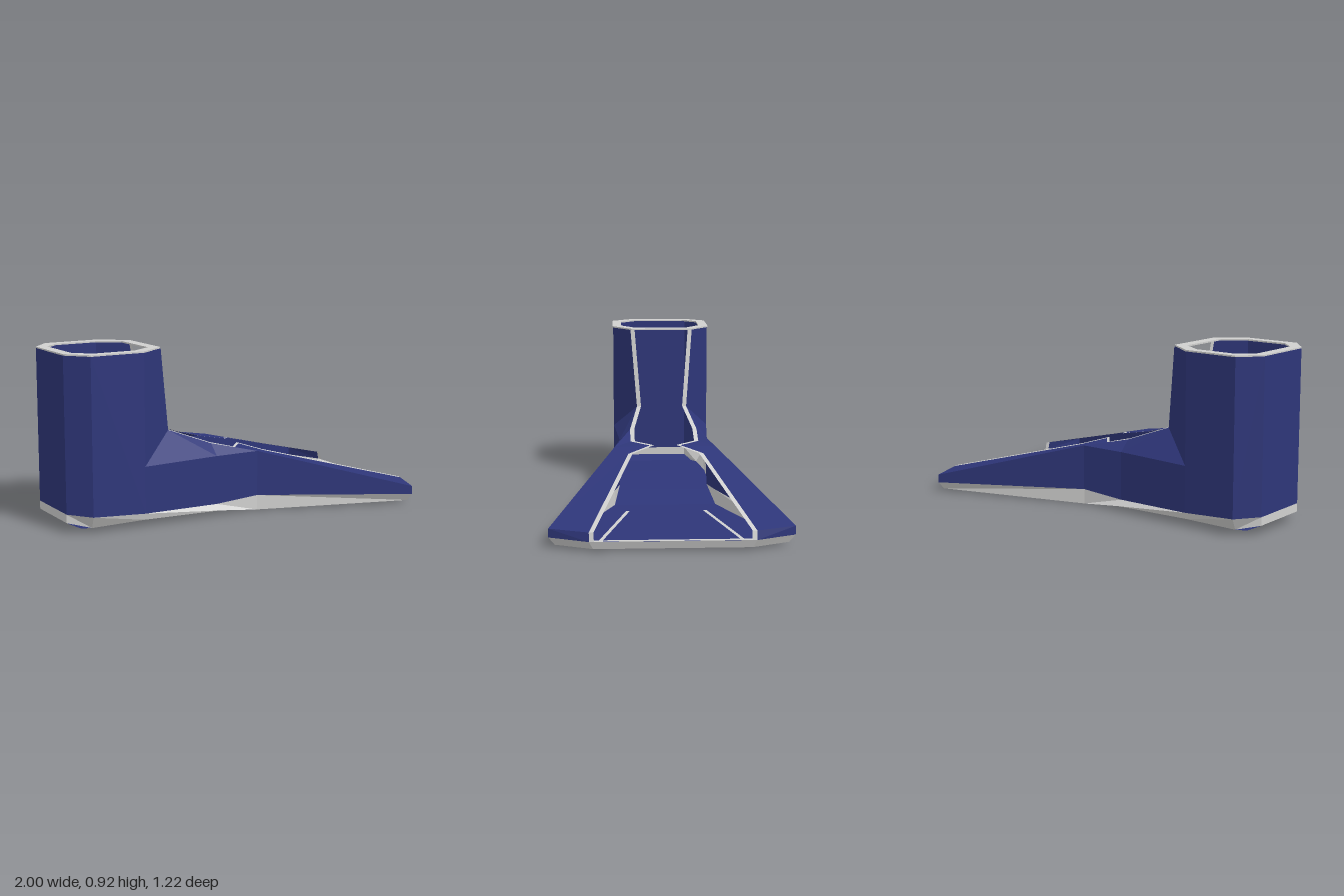
import * as THREE from 'three';

const blue = new THREE.MeshStandardMaterial({ color: 0x2e3679, side: THREE.DoubleSide, flatShading: true });
blue.name = 'navy blue';
const white = new THREE.MeshStandardMaterial({ color: 0xd0d0cf, side: THREE.DoubleSide, flatShading: true });
white.name = 'trim white';

// Faces between an upper and a lower edge, mirrored across z = 0.
function strip(upper, lower) {
  const pos = [];
  for (const s of [1, -1]) {
    const tri = (a, b, c) => {
      for (const p of s > 0 ? [a, b, c] : [a, c, b]) pos.push(p[0], p[1], p[2] * s);
    };
    for (let i = 0; i < upper.length - 1; i++) {
      tri(upper[i], lower[i], lower[i + 1]);
      tri(upper[i], lower[i + 1], upper[i + 1]);
    }
  }
  const g = new THREE.BufferGeometry();
  g.setAttribute('position', new THREE.Float32BufferAttribute(pos, 3));
  g.computeVertexNormals();
  return g;
}

export function createModel() {
  const group = new THREE.Group();
  const add = (name, geometry, material) => {
    const m = new THREE.Mesh(geometry, material);
    m.name = name;
    group.add(m);
  };
  const center = p => [p[0], p[1], 0];

  // Main edges of one half, running heel to toe.
  const opening = [
    [-0.45, 0.92, 0.18], [-0.39, 0.475, 0.145], [-0.15, 0.385, 0.19], [0, 0.345, 0.19],
    [0.09, 0.34, 0.085], [0.18, 0.313, 0.205], [0.99, 0.1, 0.41], [1, 0.055, 0.41],
  ];
  const shoulder = [
    [-0.6, 0.325, 0.28], [-0.15, 0.325, 0.25], [0.09, 0.332, 0.28], [0.91, 0.1, 0.61], [0.99, 0.1, 0.41],
  ];
  const wallBase = [
    [-1, 0.1, 0.17], [-0.9, 0.095, 0.28], [-0.6, 0.075, 0.28], [-0.15, 0.06, 0.25],
    [0.09, 0.085, 0.28], [0.91, 0.055, 0.61], [1, 0.055, 0.41],
  ];
  const soleEdge = [
    [-1, 0.055, 0.17], [-0.89, 0.03, 0.24], [-0.6, 0.04, 0.27], [-0.15, 0.03, 0.278],
    [0.09, 0.003, 0.28], [0.9, 0.015, 0.58], [0.985, 0.015, 0.39],
  ];

  // Ankle tube: back, corner and side faces
  const top = [[-1, 0.92, 0], [-1, 0.92, 0.17], [-0.9, 0.92, 0.28], [-0.6, 0.92, 0.28]];
  add('ankleWall', strip(top, [center(wallBase[0]), ...wallBase.slice(0, 3)]), blue);
  add('ankleFrontCorner', strip([top[3], opening[0]], [shoulder[0], opening[1]]), blue);

  // Foot sides and sloping upper, open along the middle
  add('footSide', strip(shoulder, wallBase.slice(2)), blue);
  const [e0, e1, e2, e3, e4] = shoulder;
  add('footUpper', strip(opening.slice(1, 7), [e0, e1, e2, e2, e2, e3]), blue);
  add('toeCorner', strip([opening[6], opening[6]], [e3, e4]), blue);

  // Sole band and floor
  add('soleBand', strip(
    [center(wallBase[0]), ...wallBase, center(wallBase[6])],
    [center(soleEdge[0]), ...soleEdge, center(soleEdge[6])]), white);
  const floor = [soleEdge[0], [-0.94, 0.028, 0.21], ...soleEdge.slice(1)];
  add('soleFloor', strip(floor, floor.map(center)), blue);

  // Trim around the front opening
  add('openingTrim', strip(opening.map(([x, y, z]) => [x + 0.003, y + 0.002, z - 0.024]), opening), white);
  add('toeTrim', strip([[0.975, 0.056, 0.4], [0.975, 0.056, 0]], [[1, 0.056, 0.41], [1, 0.056, 0]]), white);

  // Thin lines above and below the floor
  for (const d of [0.004, -0.003]) {
    add('floorLine', strip(
      [[0.25, 0.0055 + d, 0.2], [0.975, 0.015 + d, 0.375]],
      [[0.25, 0.0055 + d, 0.22], [0.975, 0.015 + d, 0.395]]), white);
  }

  // Eight-sided rim
  const ring = half => [...half, ...half.map(([x, z]) => [x, -z]).reverse()].map(p => new THREE.Vector2(...p));
  const rim = new THREE.Shape(ring([[-1, 0.17], [-0.9, 0.285], [-0.6, 0.285], [-0.45, 0.175]]));
  rim.holes.push(new THREE.Path(ring([[-0.945, 0.15], [-0.86, 0.232], [-0.63, 0.232], [-0.51, 0.15]])));
  const rimGeometry = new THREE.ExtrudeGeometry(rim, { depth: 0.008, bevelEnabled: false });
  rimGeometry.rotateX(-Math.PI / 2).translate(0, 0.919, 0);
  add('ankleRim', rimGeometry, white);

  return group;
}
